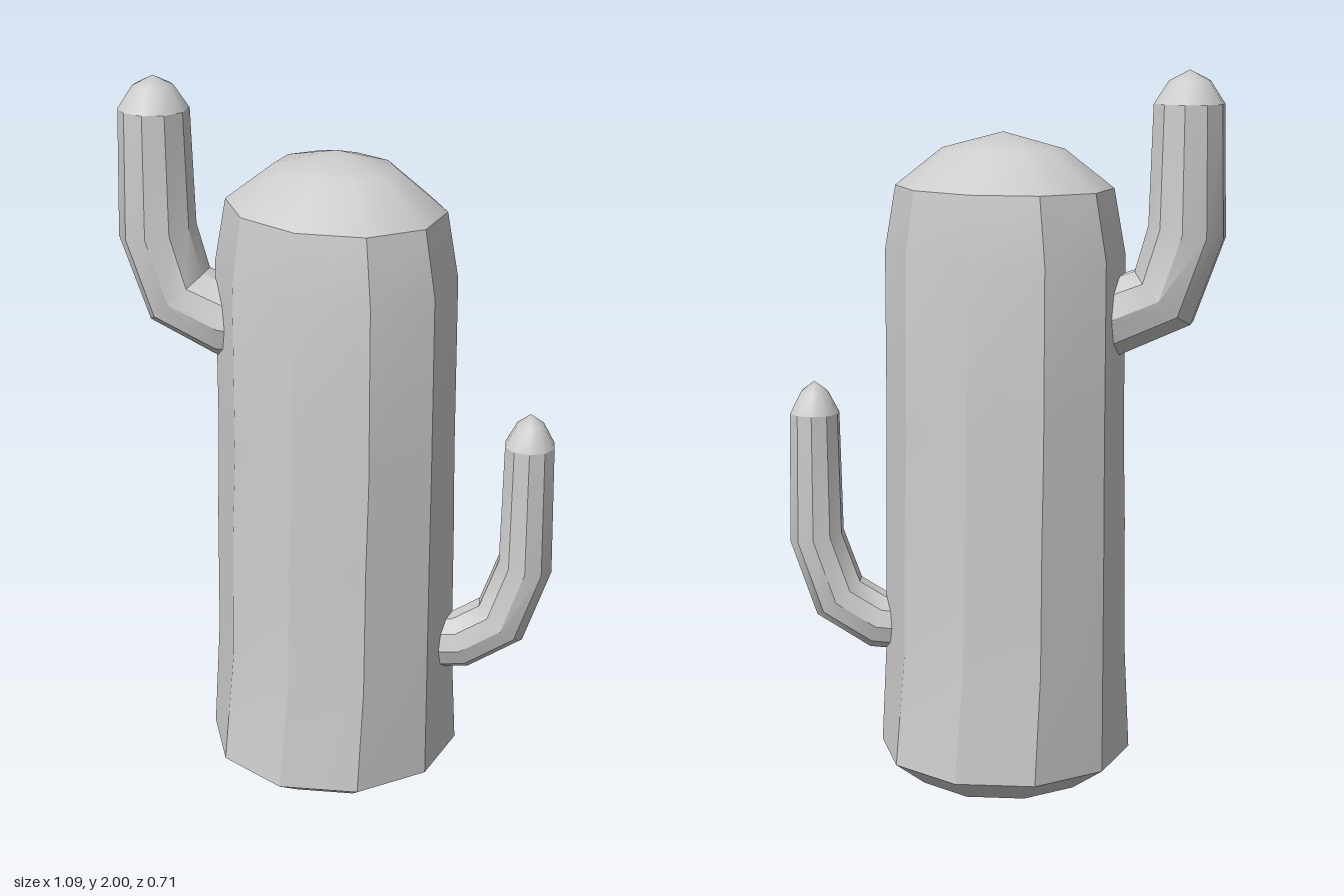
import * as THREE from 'three';
import { toCreasedNormals } from 'three/addons/utils/BufferGeometryUtils.js';

const SIDES = 10;
const UP = new THREE.Vector3(0, 1, 0);
const material = new THREE.MeshStandardMaterial({ color: 0xcccccc });

// Ten-sided ring of points; e1 x e2 points along the sweep
function ring(center, e1, e2, r1, r2, offset = 0) {
  return Array.from({ length: SIDES }, (_, j) => {
    const a = ((j + offset) / SIDES) * Math.PI * 2;
    return center.clone().addScaledVector(e1, Math.cos(a) * r1).addScaledVector(e2, Math.sin(a) * r2);
  });
}

// Skin consecutive rings; a ring of zero radius closes an end
function loft(name, rings, crease) {
  const points = [];
  const tri = (a, b, c) => {
    if (a.distanceTo(b) > 1e-5 && b.distanceTo(c) > 1e-5 && c.distanceTo(a) > 1e-5) points.push(a, b, c);
  };
  for (let i = 0; i < rings.length - 1; i++) {
    for (let j = 0; j < SIDES; j++) {
      const k = (j + 1) % SIDES;
      const [a, b, c, d] = [rings[i][j], rings[i][k], rings[i + 1][k], rings[i + 1][j]];
      tri(a, b, c);
      tri(a, c, d);
    }
  }
  const geometry = new THREE.BufferGeometry().setFromPoints(points);
  const mesh = new THREE.Mesh(toCreasedNormals(geometry, crease), material);
  mesh.name = name;
  return mesh;
}

// Trunk level: height, half width in x, half depth in z, z centre
function trunkRing([y, rx, rz, cz]) {
  return ring(new THREE.Vector3(0.004, y, cz), new THREE.Vector3(0, 0, 1), new THREE.Vector3(1, 0, 0), rz, rx, 0.5);
}

// Bent arm: path points are [distance inward from the upright stem, height, radius]
function arm(name, x, z, inX, inZ, path, cap) {
  const inward = new THREE.Vector3(inX, 0, inZ).normalize();
  const side = new THREE.Vector3().crossVectors(inward, UP);
  const at = ([u, y]) => new THREE.Vector3(x, y, z).addScaledVector(inward, u);
  const centers = path.map(at);
  const rings = path.map((p, i) => {
    const t = new THREE.Vector3();
    if (i > 0) t.add(centers[i].clone().sub(centers[i - 1]).normalize());
    if (i < path.length - 1) t.add(centers[i + 1].clone().sub(centers[i]).normalize());
    t.normalize();
    return ring(centers[i], side, t.clone().cross(side), p[2], p[2]);
  });
  rings.unshift(ring(centers[0], side, UP, 0, 0));
  const across = UP.clone().cross(side);
  const capRings = cap.map(([y, r]) => ring(at([0, y]), side, across, r, r));
  rings[rings.length - 1] = capRings[0];

  const group = new THREE.Group();
  group.name = name;
  group.add(loft(name + 'Stem', rings, 0.6), loft(name + 'Tip', capRings, 1.4));
  return group;
}

export function createModel() {
  const model = new THREE.Group();
  model.name = 'cactus';

  // Trunk, slightly flattened towards the top, with a chamfered foot
  model.add(loft('trunk', [
    [0, 0, 0, 0.005],
    [0, 0.26, 0.26, 0.005],
    [0.07, 0.358, 0.358, 0.014],
    [0.38, 0.358, 0.318, 0.013],
    [0.75, 0.358, 0.31, 0.012],
    [1.0, 0.358, 0.297, 0.01],
    [1.5, 0.358, 0.294, 0.01],
    [1.68, 0.322, 0.27, 0.009],
  ].map(trunkRing), 0.5));

  // Rounded crown
  model.add(loft('crown', [
    [1.68, 0.322, 0.27, 0.009],
    [1.785, 0.18, 0.15, 0.006],
    [1.83, 0, 0, 0.006],
  ].map(trunkRing), 1.4));

  // Upper arm on the model's right, leaning forward
  model.add(arm('rightArm', -0.445, 0.247, 0.87, -0.48, [
    [0.34, 1.32, 0.1],
    [0.2, 1.33, 0.108],
    [0.06, 1.39, 0.11],
    [0, 1.57, 0.108],
    [0, 1.91, 0.097],
  ], [[1.91, 0.097], [1.972, 0.056], [2.0, 0]]));

  // Lower arm on the model's left, leaning back
  model.add(arm('leftArm', 0.468, -0.278, -0.79, 0.61, [
    [0.316, 0.41, 0.08],
    [0.177, 0.42, 0.082],
    [0.063, 0.49, 0.084],
    [0, 0.67, 0.079],
    [0, 1.03, 0.071],
  ], [[1.03, 0.071], [1.093, 0.038], [1.122, 0]]));

  return model;
}
